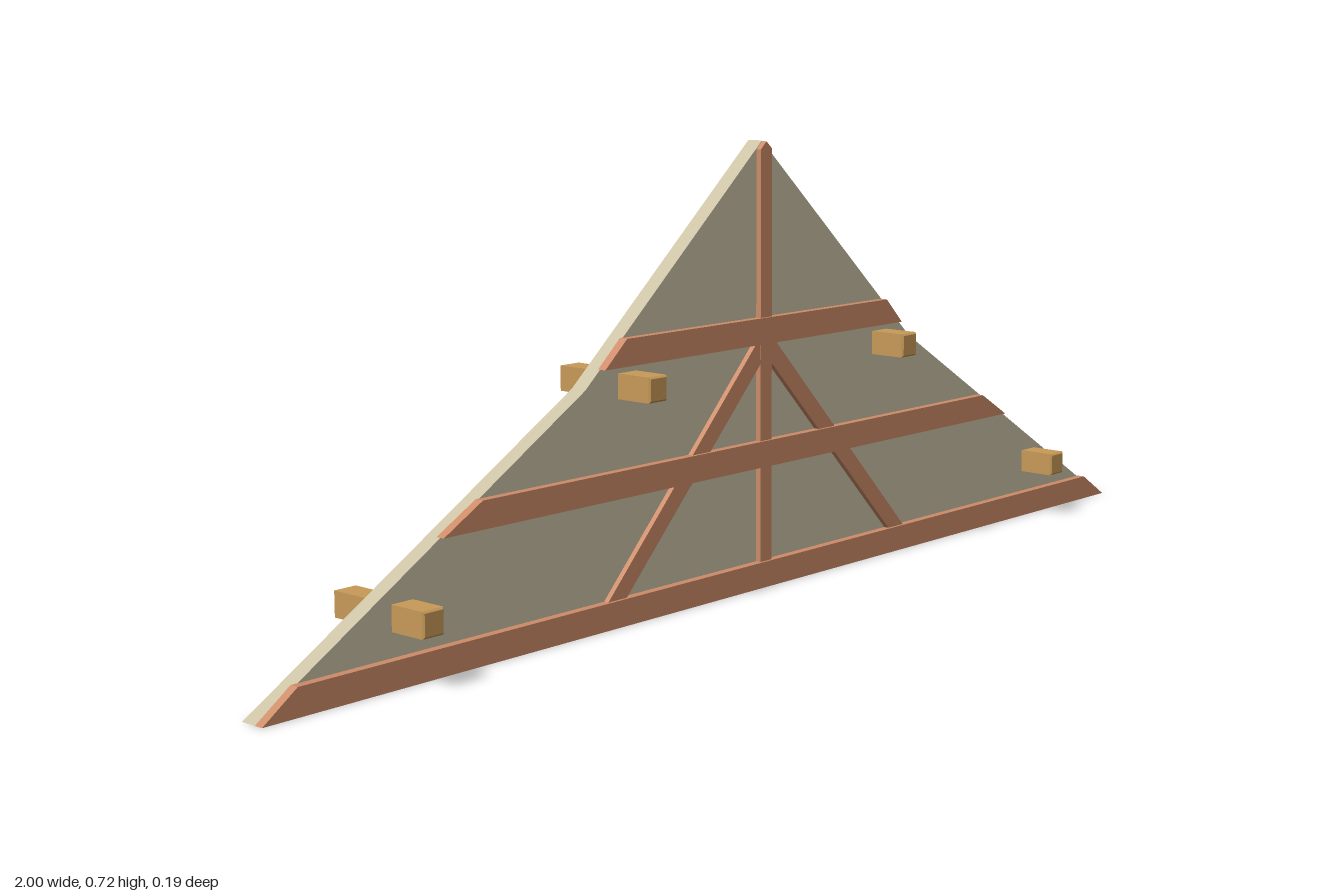
import * as THREE from 'three';

const CENTRE = 0.0135; // x of the ridge

const plaster = new THREE.MeshStandardMaterial({ color: 0xcbc1a4 });
const timber = new THREE.MeshStandardMaterial({ color: 0xcd8c69 });
const beamWood = new THREE.MeshStandardMaterial({ color: 0xc89b58, flatShading: true, side: THREE.DoubleSide });

// Flat outline in x, y given a thickness from z0 to z1
function slab(name, points, z0, z1, material) {
  const shape = new THREE.Shape(points.map(([x, y]) => new THREE.Vector2(x, y)));
  const geometry = new THREE.ExtrudeGeometry(shape, { depth: z1 - z0, bevelEnabled: false });
  geometry.translate(0, 0, z0);
  const mesh = new THREE.Mesh(geometry, material);
  mesh.name = name;
  return mesh;
}

// Square purlin: chamfered closed front end, open back end
function purlin(name, x, y) {
  const r = 0.0195 * Math.SQRT2;
  const profile = [[r, -0.093], [r, 0.09], [r - 0.004, 0.093], [0, 0.093]]
    .map(([a, b]) => new THREE.Vector2(a, b));
  const geometry = new THREE.LatheGeometry(profile, 4);
  geometry.rotateY(Math.PI / 4);
  geometry.rotateX(Math.PI / 2);
  const mesh = new THREE.Mesh(geometry, beamWood);
  mesh.name = name;
  mesh.position.set(x, y, 0);
  return mesh;
}

export function createModel() {
  const group = new THREE.Group();
  group.name = 'gable';

  // Gable wall with a kinked roof line
  group.add(slab('gableWall',
    [[-1, 0], [1, 0], [0.4, 0.367], [CENTRE, 0.716], [-0.385, 0.367]], 0, 0.028, plaster));

  // Horizontal boards with ends cut to the roof slope:
  // name, bottom y, top y, bottom left/right x, top left/right x
  const boards = [
    ['bottomBoard', 0, 0.042, -1, 1, -0.94, 0.935],
    ['middleBoard', 0.197, 0.239, -0.68, 0.672, -0.605, 0.602],
    ['upperBoard', 0.395, 0.437, -0.357, 0.362, -0.31, 0.32],
  ];
  for (const [name, y0, y1, bl, br, tl, tr] of boards) {
    group.add(slab(name, [[bl, y0], [br, y0], [tr, y1], [tl, y1]], 0.027, 0.042, timber));
  }

  // Central post
  group.add(slab('centrePost',
    [[0, 0.002], [0.027, 0.002], [0.027, 0.703], [CENTRE, 0.715], [0, 0.703]], 0.027, 0.0375, timber));

  // Diagonal braces, mirrored about the post
  const brace = [[0.325, 0.04], [0.365, 0.04], [0.024, 0.396], [0.0135, 0.396], [0.0135, 0.363]];
  group.add(slab('leftBrace', brace.map(([x, y]) => [CENTRE + x, y]), 0.027, 0.037, timber));
  group.add(slab('rightBrace', brace.map(([x, y]) => [CENTRE - x, y]).reverse(), 0.027, 0.037, timber));

  // Purlin ends passing through the wall
  for (const [side, s] of [['left', 1], ['right', -1]]) {
    group.add(purlin(side + 'UpperPurlin', CENTRE - 0.003 + s * 0.307, 0.365));
    group.add(purlin(side + 'LowerPurlin', CENTRE - 0.003 + s * 0.756, 0.098));
  }
  return group;
}
